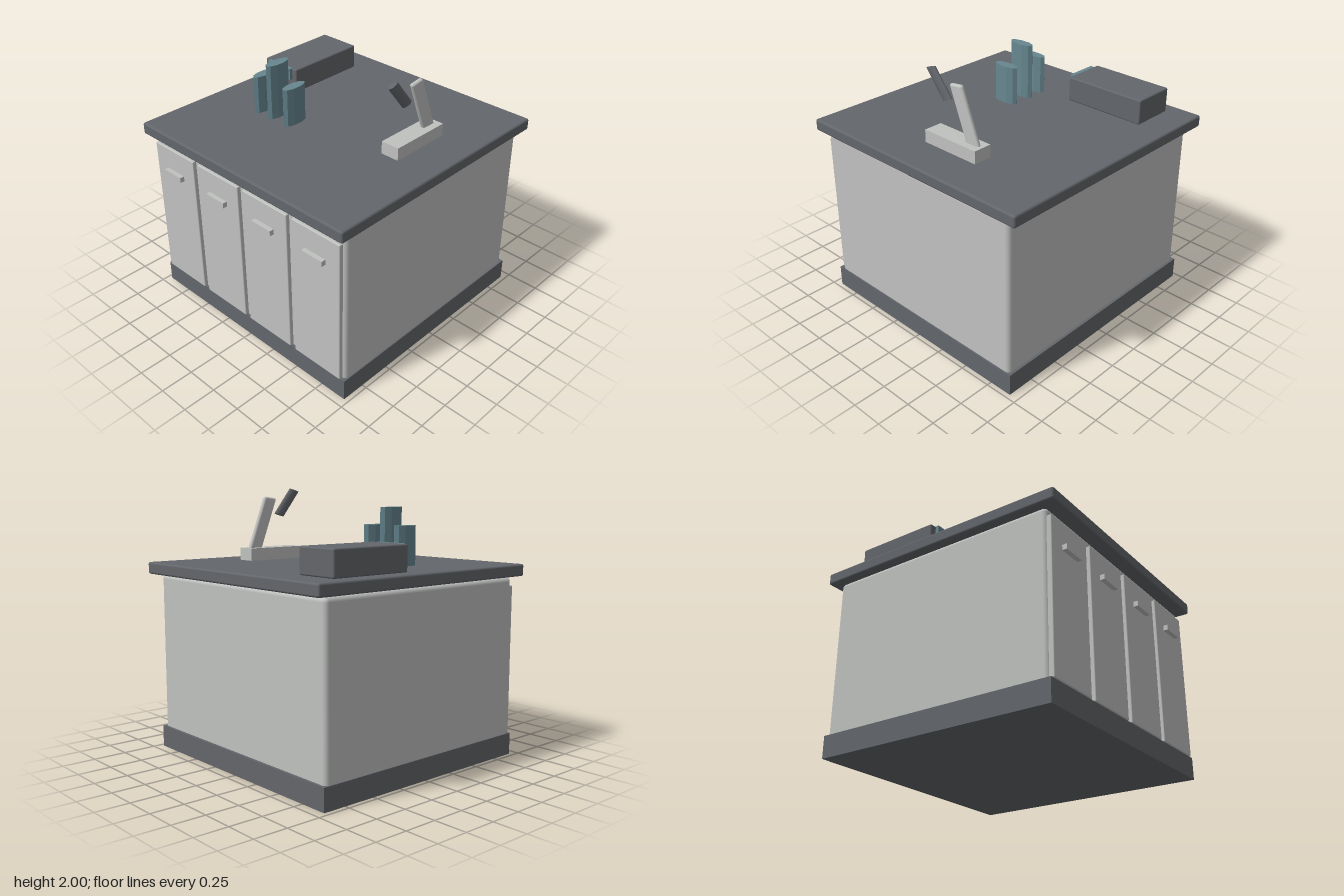
import * as THREE from 'three';
import { RoundedBoxGeometry } from 'three/addons/geometries/RoundedBoxGeometry.js';

const paint = (name, color) => {
  const m = new THREE.MeshStandardMaterial({ color });
  m.name = name;
  return m;
};

export function createModel() {
  const light = paint('light grey', 0xc0c2c0);
  const dark = paint('slate grey', 0x63666b);
  const blue = paint('muted blue', 0x678790);
  const model = new THREE.Group();
  model.name = 'kitchenCounter';

  const add = (name, geometry, material, parent = model) => {
    const mesh = new THREE.Mesh(geometry, material);
    mesh.name = name;
    parent.add(mesh);
    return mesh;
  };

  // Box given by its limits on each axis, with an optional rounded edge
  const box = (name, material, [x0, x1], [y0, y1], [z0, z1], radius = 0, parent = model) => {
    const size = [x1 - x0, y1 - y0, z1 - z0];
    const geometry = radius
      ? new RoundedBoxGeometry(...size, 3, radius)
      : new THREE.BoxGeometry(...size);
    const mesh = add(name, geometry, material, parent);
    mesh.position.set((x0 + x1) / 2, (y0 + y1) / 2, (z0 + z1) / 2);
    return mesh;
  };

  // Cabinet, plinth and worktop
  box('plinth', dark, [-0.965, 0.965], [0, 0.165], [-0.93, 0.935]);
  box('cabinetBody', light, [-0.955, 0.955], [0.08, 1.355], [-0.91, 0.915], 0.035);
  box('worktop', dark, [-1, 1], [1.36, 1.45], [-1, 1], 0.016);

  // Four doors with bar handles
  for (let i = 0; i < 4; i++) {
    const x = -0.725 + i * 0.479;
    const door = new THREE.Group();
    door.name = 'door' + (i + 1);
    model.add(door);
    box('doorPanel', light, [x - 0.216, x + 0.216], [0.165, 1.29], [0.89, 0.945], 0.008, door);
    box('doorHandle', light, [x - 0.092, x + 0.092], [1.08, 1.12], [0.94, 0.98], 0, door);
  }

  // Countertop appliance with its front panel
  box('applianceBody', dark, [-0.88, -0.54], [1.45, 1.64], [-0.775, -0.115], 0.012);
  box('appliancePanel', blue, [-0.83, -0.585], [1.55, 1.64], [-0.125, -0.09]);

  // Three flattened bottles
  for (const [x, top] of [[-0.52, 1.74], [-0.378, 1.87], [-0.21, 1.74]]) {
    const geometry = new THREE.CylinderGeometry(1, 1, top - 1.45, 10).toNonIndexed();
    geometry.scale(0.041, 1, 0.107);
    geometry.computeVertexNormals();
    add('bottle', geometry, blue).position.set(x, (top + 1.45) / 2, 0.225);
  }

  // Tap: base block, leaning neck and slanted spout
  const tap = new THREE.Group();
  tap.name = 'tap';
  model.add(tap);
  box('tapBase', light, [0.55, 0.695], [1.45, 1.545], [-0.355, 0.132], 0, tap);

  const lean = (geometry, x, up, front) =>
    geometry.applyMatrix4(new THREE.Matrix4().makeBasis(
      new THREE.Vector3(x, 0, 0), new THREE.Vector3(0, ...up), new THREE.Vector3(0, ...front)));

  const neck = lean(new RoundedBoxGeometry(0.037, 0.44, 0.115, 4, 0.018), 1, [0.933, 0.36], [-0.14, 0.99]);
  add('tapNeck', neck, light, tap).position.set(0.622, 1.727, -0.197);

  const spout = lean(new THREE.CylinderGeometry(1, 1, 1, 16), 0.02, [0.1925, 0.155], [-0.0134, 0.043]);
  add('tapSpout', spout, dark, tap).position.set(0.622, 1.89, 0.048);

  return model;
}
